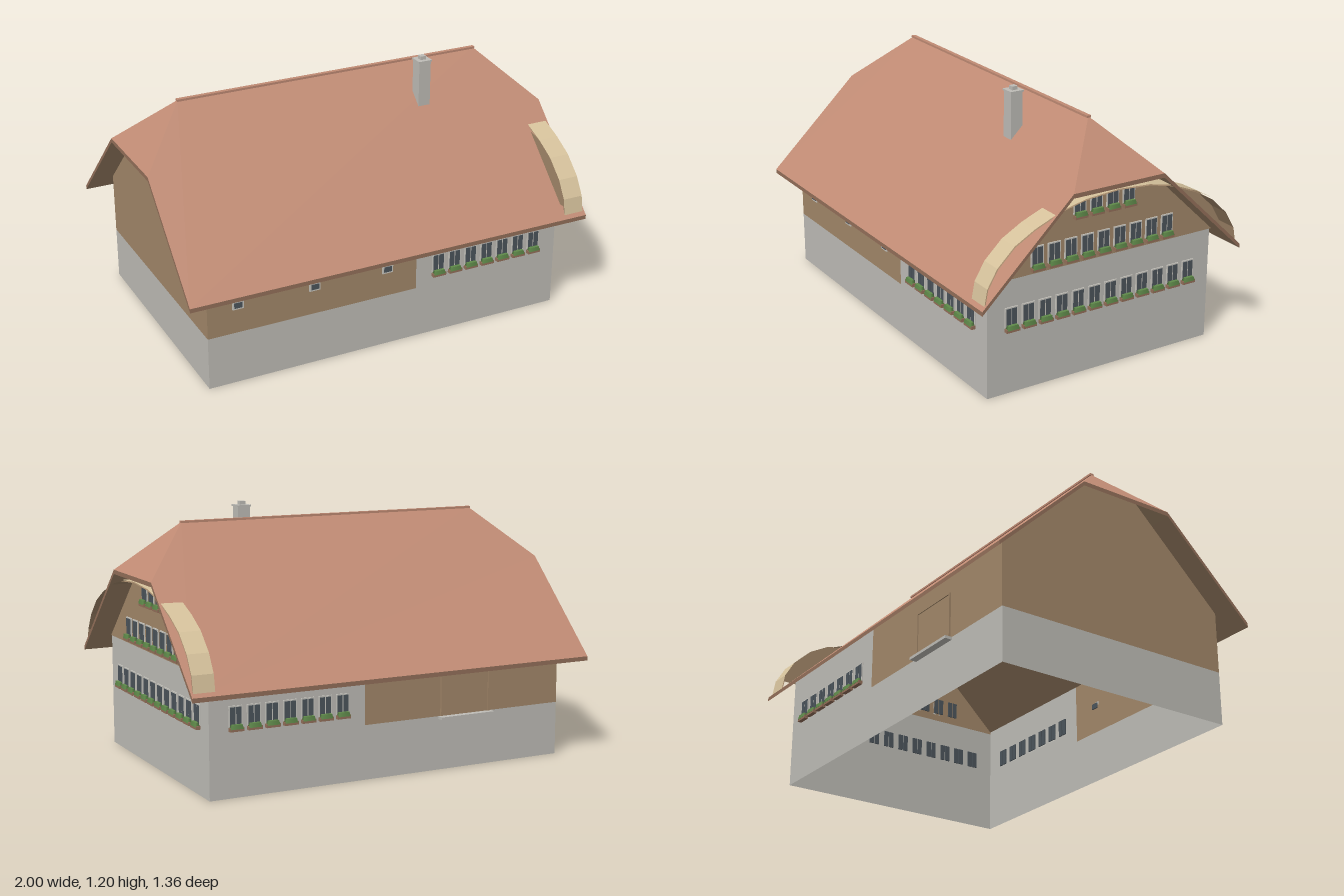
import * as THREE from 'three';

const material = (name, color, side = THREE.FrontSide) => {
  const m = new THREE.MeshStandardMaterial({ color, side });
  m.name = name;
  return m;
};

// Flat polygons, each fan-triangulated from its corner loop
function polygons(list) {
  const out = [];
  for (const p of list)
    for (let i = 1; i < p.length - 1; i++) out.push(...p[0], ...p[i], ...p[i + 1]);
  const g = new THREE.BufferGeometry();
  g.setAttribute('position', new THREE.Float32BufferAttribute(out, 3));
  g.computeVertexNormals();
  return g;
}

export function createModel() {
  const house = new THREE.Group();
  house.name = 'farmhouse';
  const plaster = material('plaster', 0xbfbdb7, THREE.DoubleSide);
  const wood = material('wood', 0xa3886a, THREE.DoubleSide);
  const tile = material('roofTile', 0xc08b74);
  const cream = material('creamBoards', 0xd6c29c);
  const trim = material('windowTrim', 0xc9c7c0);
  const glass = material('glass', 0x4c555c);
  const planter = material('planter', 0x94705a);
  const leaf = material('foliage', 0x5f8a4a);

  const add = (name, geometry, mat, parent = house) => {
    const mesh = new THREE.Mesh(geometry, mat);
    mesh.name = name;
    parent.add(mesh);
    return mesh;
  };
  const box = (name, w, h, d, x, y, z, mat, parent) => {
    const mesh = add(name, new THREE.BoxGeometry(w, h, d), mat, parent);
    mesh.position.set(x, y, z);
    return mesh;
  };

  const X = 0.89, Z = 0.59, sill = 0.25, split = 0.14, top = 0.54;

  // Long walls: plaster with a timber part on one end
  for (const s of [1, -1]) {
    const panel = (x0, x1, y0, y1) => {
      const p = [[x0, y0, s * Z], [x1, y0, s * Z], [x1, y1, s * Z], [x0, y1, s * Z]];
      return s > 0 ? p : p.reverse();
    };
    const side = s > 0 ? 'front' : 'back';
    add(side + 'PlasterWall', polygons([panel(-X, X, 0, sill), panel(split, X, sill, top)]), plaster);
    add(side + 'TimberWall', polygons([panel(-X, split, sill, top)]), wood);
  }

  // Gable ends, drawn as (z, y) outlines
  const gable = (name, x, half, mat) => {
    const loop = [...half, ...half.map(([z, y]) => [-z, y]).reverse()].map(([z, y]) => [x, y, z]);
    add(name, polygons([x > 0 ? loop : loop.reverse()]), mat);
  };
  const arch = [[0.664, 0.49], [0.65, 0.565], [0.602, 0.646], [0.518, 0.726], [0.42, 0.78],
    [0.32, 0.82], [0.27, 0.838], [0.165, 0.861], [0, 0.873]];
  gable('rightGablePlaster', X, [[Z, 0], [Z, 0.53]], plaster);
  gable('rightGableTimber', X, [[0.655, 0.53], ...arch.slice(1, 5), [0.32, 0.8], [0.13, 0.98]], wood);
  gable('leftGablePlaster', -X, [[Z, 0], [Z, sill]], plaster);
  gable('leftGableTimber', -X, [[Z, sill], [Z, top], [0.13, 0.98]], wood);

  // Curved vault below the right roof end
  const curve = [...arch, ...arch.slice(0, -1).reverse().map(([z, y]) => [-z, y])];
  const vault = (drop) => curve.slice(1).map(([z1, y1], i) => {
    const [z0, y0] = curve[i], k = 1 - drop;
    return [[X, y0 - drop, z0 * k], [0.99, y0 - drop, z0 * k], [0.99, y1 - drop, z1 * k], [X, y1 - drop, z1 * k]];
  });
  add('vaultOutside', polygons(vault(0)), cream);
  add('vaultLining', polygons(vault(0.006).map((p) => p.reverse())), wood);

  // Half-hipped roof with thickness
  const roofFaces = (dy) => {
    const v = (x, y, z) => [x, y - dy, z];
    const faces = [];
    for (const s of [1, -1]) {
      faces.push([v(-s, 0.475, s * 0.68), v(s, 0.475, s * 0.68), v(s, 0.9, s * 0.235),
        v(s * 0.76, 1.13, 0), v(-s * 0.76, 1.13, 0), v(-s, 0.9, s * 0.235)]);
      faces.push([v(s, 0.9, s * 0.235), v(s, 0.9, -s * 0.235), v(s * 0.76, 1.13, 0)]);
    }
    return faces;
  };
  add('roofTiles', polygons(roofFaces(0)), tile);
  add('roofUnderside', polygons(roofFaces(0.02).map((p) => p.reverse())), wood);
  const rim = [[-1, 0.475, 0.68], [1, 0.475, 0.68], [1, 0.9, 0.235], [1, 0.9, -0.235],
    [1, 0.475, -0.68], [-1, 0.475, -0.68], [-1, 0.9, -0.235], [-1, 0.9, 0.235]];
  add('roofEdge', polygons(rim.map((a, i) => {
    const b = rim[(i + 1) % rim.length];
    return [[a[0], a[1] - 0.02, a[2]], [b[0], b[1] - 0.02, b[2]], b, a];
  })), planter);
  box('ridgeCap', 1.53, 0.01, 0.02, 0, 1.13, 0, tile);

  // Chimney
  box('chimneyStack', 0.06, 0.24, 0.06, 0.397, 1.055, 0.148, plaster);
  box('chimneyCap', 0.068, 0.008, 0.068, 0.397, 1.176, 0.148, plaster);
  box('chimneyPot', 0.028, 0.02, 0.028, 0.397, 1.187, 0.148, plaster);

  // Windows with planters; u runs along the wall
  const leafGeometry = new THREE.CylinderGeometry(0.035, 0.043, 0.02, 4);
  leafGeometry.rotateY(Math.PI / 4);
  leafGeometry.scale(1, 1, 0.32);
  const place = (name, wall, u, y) => {
    const g = new THREE.Group();
    g.name = name;
    if (wall === 'right') {
      g.position.set(X, y, u);
      g.rotation.y = Math.PI / 2;
    } else {
      g.position.set(u, y, wall === 'front' ? Z : -Z);
      g.rotation.y = wall === 'front' ? 0 : Math.PI;
    }
    house.add(g);
    return g;
  };
  const windowRow = (wall, count, centre, y) => {
    for (let i = 0; i < count; i++) {
      const g = place('flowerWindow', wall, centre + (i - (count - 1) / 2) * 0.0856, y);
      box('windowFrame', 0.064, 0.092, 0.005, 0, 0.064, 0.0025, trim, g);
      for (const s of [-1, 1]) box('windowPane', 0.024, 0.08, 0.012, s * 0.0145, 0.064, 0.001, glass, g);
      box('flowerBox', 0.066, 0.016, 0.02, 0, 0.008, 0.012, planter, g);
      add('flowers', leafGeometry, leaf, g).position.set(0, 0.02, 0.013);
    }
  };
  windowRow('right', 12, 0, 0.295);
  windowRow('right', 9, 0, 0.545);
  windowRow('right', 4, 0, 0.738);
  windowRow('front', 7, 0.511, 0.295);
  windowRow('back', 7, 0.511, 0.295);

  // Small stable windows
  for (const u of [-0.745, -0.375, -0.01]) {
    const g = place('stableWindow', 'front', u, 0.387);
    box('stableFrame', 0.054, 0.04, 0.005, 0, 0, 0.0025, trim, g);
    box('stablePane', 0.038, 0.026, 0.012, 0, 0, 0.001, glass, g);
  }

  // Barn door and its landing on the back
  const door = place('barnDoor', 'back', -0.38, sill);
  box('doorPanel', 0.25, 0.21, 0.004, 0, 0.105, 0.002, wood, door);
  for (const s of [-1, 1]) box('doorPost', 0.008, 0.21, 0.009, s * 0.126, 0.105, 0.0045, wood, door);
  box('doorLintel', 0.26, 0.008, 0.009, 0, 0.21, 0.0045, wood, door);
  box('doorLanding', 0.28, 0.013, 0.034, 0, -0.006, 0.017, plaster, door);

  return house;
}
